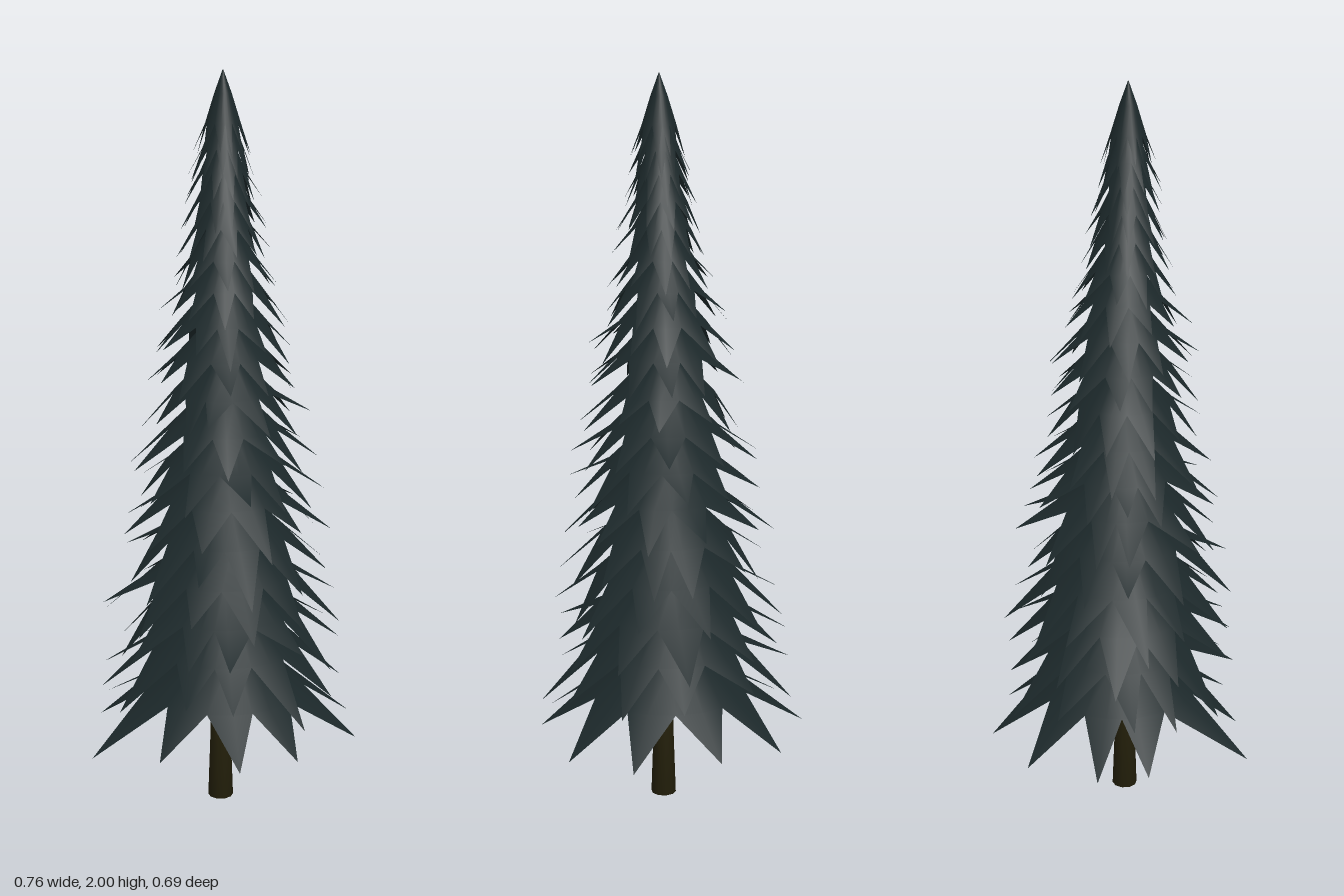
import * as THREE from 'three';

// small seeded generator for the irregular points
function seeded(seed) {
  let s = seed;
  return () => {
    s = (s * 16807) % 2147483647;
    return s / 2147483647;
  };
}

// tips of the lowest skirt, as x, z pairs about its centre
const LOWEST_TIPS = [
  [0.38, 0.01], [0.27, 0.23], [0.14, 0.33], [-0.08, 0.33], [-0.27, 0.33],
  [-0.38, -0.09], [-0.35, 0.05], [-0.27, -0.27], [-0.06, -0.36], [0.13, -0.31], [0.32, -0.17],
].sort((a, b) => Math.atan2(a[1], a[0]) - Math.atan2(b[1], b[0]));

// open skirt: a cone whose hem is cut into long drooping points
function skirtGeometry(tips, R, tipY, H) {
  const n = tips.length, m = 2 * n, pos = [], idx = [];
  const rings = [[0, 1], [0.3, 0.72], [0.62, 0.37]];
  const angleAt = (j) => {
    const a = tips[j >> 1].angle;
    if (j % 2 === 0) return a;
    let b = tips[((j >> 1) + 1) % n].angle;
    while (b < a) b += Math.PI * 2;
    return (a + b) / 2;
  };
  rings.forEach(([f, h]) => {
    for (let j = 0; j < m; j++) {
      const a = angleAt(j), r = f * R + 0.001;
      pos.push(r * Math.cos(a), tipY + H * h, r * Math.sin(a));
    }
  });
  tips.forEach((t) => pos.push(t.r * Math.cos(t.angle), t.y, t.r * Math.sin(t.angle)));
  for (let k = 0; k < rings.length - 1; k++) {
    for (let j = 0; j < m; j++) {
      const a = k * m + j, b = k * m + (j + 1) % m;
      idx.push(a, b, b + m, a, b + m, a + m);
    }
  }
  // each point is two triangles on either side of its midline
  const hem = (rings.length - 1) * m;
  for (let i = 0; i < n; i++) {
    const mid = hem + 2 * i, prev = hem + (2 * i - 1 + m) % m, tip = hem + m + i;
    idx.push(prev, mid, tip, mid, mid + 1, tip);
  }
  const g = new THREE.BufferGeometry();
  g.setAttribute('position', new THREE.Float32BufferAttribute(pos, 3));
  g.setIndex(idx);
  g.computeVertexNormals();
  return g;
}

export function createModel() {
  const tree = new THREE.Group();
  tree.name = 'firTree';
  const needles = new THREE.MeshStandardMaterial({ color: 0x1b2729, side: THREE.DoubleSide });
  needles.name = 'dark needle green';
  const bark = new THREE.MeshStandardMaterial({ color: 0x231f0a });
  bark.name = 'dark bark';

  // trunk, flared at the foot
  const profile = [[0, 0], [0.035, 0], [0.028, 0.2], [0.024, 0.5], [0.018, 1.2], [0, 1.75]];
  const trunk = new THREE.Mesh(
    new THREE.LatheGeometry(profile.map(([r, y]) => new THREE.Vector2(r, y)), 10), bark);
  trunk.name = 'trunk';
  trunk.position.set(-0.004, 0, 0.03);
  tree.add(trunk);

  // branch skirts, closer and smaller towards the top: hem height, reach, height
  const tiers = [
    [0.22, 0.36, 0.29], [0.35, 0.335, 0.28], [0.46, 0.325, 0.27], [0.57, 0.31, 0.26],
    [0.68, 0.29, 0.25], [0.79, 0.275, 0.24], [0.89, 0.255, 0.225], [0.99, 0.24, 0.215],
    [1.09, 0.22, 0.205], [1.19, 0.205, 0.2], [1.28, 0.19, 0.2], [1.37, 0.165, 0.2],
    [1.45, 0.14, 0.2], [1.53, 0.122, 0.2], [1.6, 0.11, 0.2], [1.67, 0.095, 0.2],
    [1.73, 0.085, 0.2], [1.79, 0.072, 0.21],
  ];
  const rand = seeded(4217);
  tiers.forEach(([y, R, H], k) => {
    const n = 12, turn = rand() * Math.PI * 2, up = k / (tiers.length - 1);
    const tips = k === 0
      ? LOWEST_TIPS.map(([x, z]) => ({
        angle: Math.atan2(z, x), r: Math.hypot(x, z), y: y + 0.03 * (rand() - 0.5),
      }))
      : Array.from({ length: n }, (_, i) => ({
        angle: turn + (i + 0.5 * (rand() - 0.5)) * Math.PI * 2 / n,
        r: R * (0.88 + 0.22 * rand()),
        y: y + R * 0.25 * (rand() - 0.5),
      }));
    const skirt = new THREE.Mesh(skirtGeometry(tips, R, y, H), needles);
    skirt.name = 'branchSkirt' + (k + 1);
    skirt.position.set(0.005 * up, 0, 0.01 + 0.025 * up);
    tree.add(skirt);
  });
  return tree;
}
